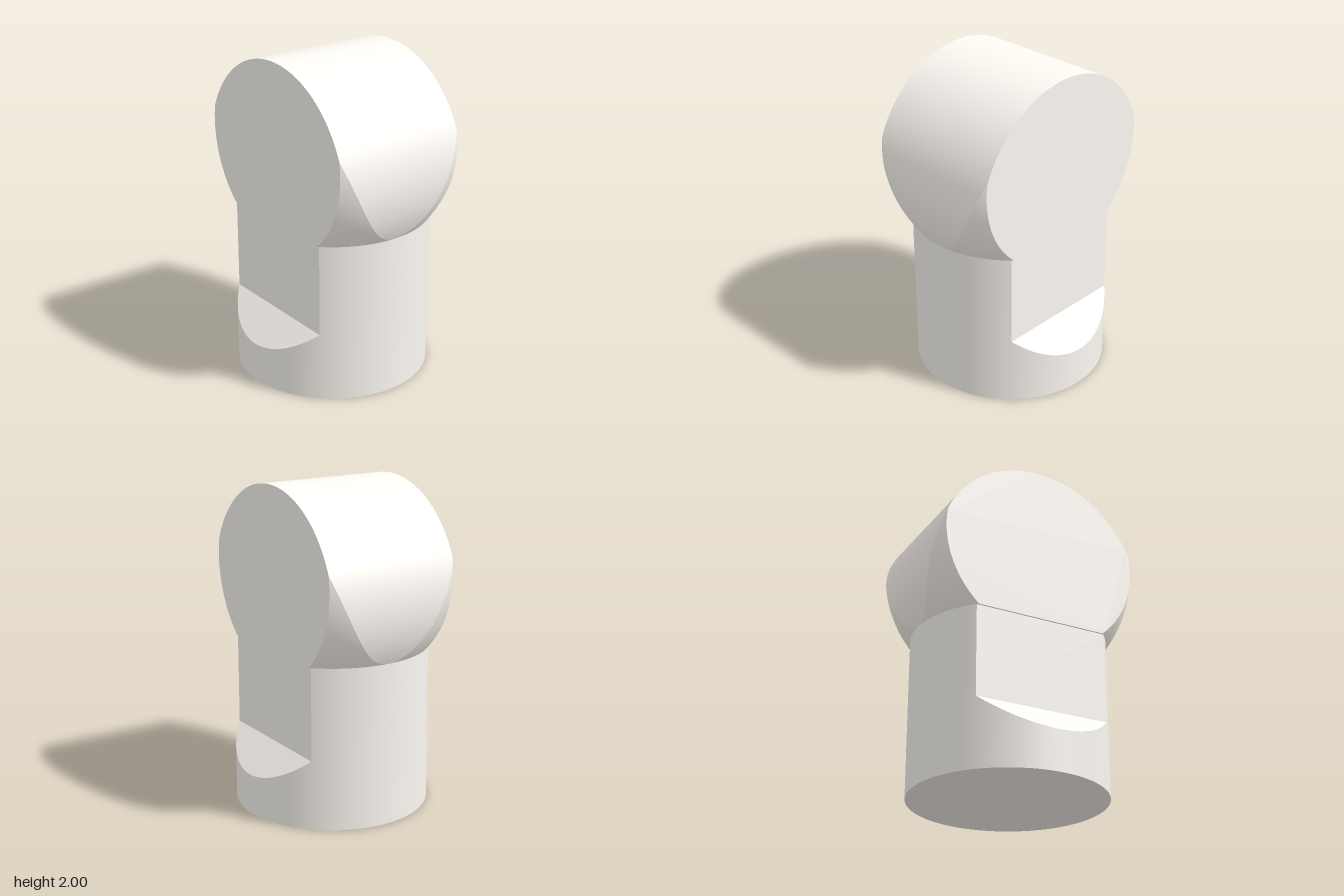
import * as THREE from 'three';

const material = new THREE.MeshStandardMaterial({ color: 0xfdf9f3 });
const { lerp } = THREE.MathUtils;

const SHAFT_R = 0.6, FLAT_Z = 0.42, SHOULDER_Y = 0.25, NECK_Y = 1;
const HEAD_R = 0.68, HEAD_Y = 1.32, HEAD_Z = 0.43;
const BALL_Y = 1.48; // sphere that rounds the head down into the shaft
const BALL_R = Math.hypot(SHAFT_R, BALL_Y - NECK_Y);

function mesh(name, geometry) {
  const m = new THREE.Mesh(geometry, material);
  m.name = name;
  return m;
}

// Surface patch: rule(u, v) gives a point; the front faces along u x v
function patch(name, nu, nv, rule) {
  const geo = new THREE.PlaneGeometry(1, 1, nu, nv);
  const pos = geo.attributes.position, uv = geo.attributes.uv;
  for (let i = 0; i < pos.count; i++) pos.setXYZ(i, ...rule(uv.getX(i), uv.getY(i)));
  geo.computeVertexNormals();
  return mesh(name, geo);
}

// Height where the ball surface meets the head cylinder at depth z
const seamY = z => NECK_Y + z * z / (2 * (BALL_Y - HEAD_Y));
const seamAngle = z => Math.asin((seamY(z) - HEAD_Y) / HEAD_R);

// Everything that appears once on the front and once on the back
function createHalf() {
  const half = new THREE.Group();
  const flatAngle = Math.asin(FLAT_Z / SHAFT_R);
  const flatX = SHAFT_R * Math.cos(flatAngle);
  const chamferY = z => SHOULDER_Y + SHAFT_R - z;

  // Shaft: full-height side wall, then the lower wall under the chamfer
  half.add(patch('shaftSide', 32, 1, (u, v) => {
    const a = lerp(flatAngle, -flatAngle, u);
    return [SHAFT_R * Math.cos(a), v * NECK_Y, SHAFT_R * Math.sin(a)];
  }));
  const frontAngle = u => lerp(Math.PI - flatAngle, flatAngle, u);
  half.add(patch('shaftLowerWall', 40, 1, (u, v) => {
    const a = frontAngle(u), z = SHAFT_R * Math.sin(a);
    return [SHAFT_R * Math.cos(a), v * chamferY(z), z];
  }));

  // Sloped shoulder and the flat above it
  half.add(patch('shoulderChamfer', 40, 1, (u, v) => {
    const a = frontAngle(u), z = lerp(SHAFT_R * Math.sin(a), FLAT_Z, v);
    return [SHAFT_R * Math.cos(a), chamferY(z), z];
  }));
  half.add(patch('neckFlat', 1, 1, (u, v) =>
    [lerp(-flatX, flatX, u), lerp(chamferY(FLAT_Z), NECK_Y, v), FLAT_Z]));

  // Head: narrow underside lip beyond the flat
  half.add(patch('headLip', 1, 1, (u, v) => {
    const z = lerp(FLAT_Z, HEAD_Z, v);
    return [lerp(-1, 1, u) * Math.sqrt(SHAFT_R ** 2 - z * z), NECK_Y, z];
  }));

  // Head: rounded cheek on one side
  half.add(patch('headCheek', 64, 20, (u, v) => {
    const z = lerp(HEAD_Z, -HEAD_Z, u), y = lerp(NECK_Y, seamY(z), v);
    return [Math.sqrt(BALL_R ** 2 - (y - BALL_Y) ** 2 - z * z), y, z];
  }));

  // Head: flat end face
  const r = Math.sqrt(BALL_R ** 2 - HEAD_Z ** 2);
  const low = Math.asin((NECK_Y - BALL_Y) / r);
  const high = Math.asin((seamY(HEAD_Z) - BALL_Y) / r);
  const top = seamAngle(HEAD_Z);
  const face = new THREE.Shape();
  face.absarc(0, BALL_Y, r, low, high);
  face.absarc(0, HEAD_Y, HEAD_R, top, Math.PI - top);
  face.absarc(0, BALL_Y, r, Math.PI - high, Math.PI - low);
  half.add(mesh('headFace', new THREE.ShapeGeometry(face, 64).translate(0, 0, HEAD_Z)));
  return half;
}

export function createModel() {
  const model = new THREE.Group();
  model.name = 'pivotStud';

  const front = createHalf();
  front.name = 'frontHalf';
  const back = createHalf();
  back.name = 'backHalf';
  back.rotation.y = Math.PI;
  model.add(front, back);

  // Underside of the shaft
  model.add(mesh('shaftBottom', new THREE.CircleGeometry(SHAFT_R, 96).rotateX(Math.PI / 2)));

  // Cylindrical top of the head, running down to the cheeks
  model.add(patch('headBarrel', 64, 96, (u, v) => {
    const z = lerp(HEAD_Z, -HEAD_Z, u), start = seamAngle(z);
    const a = lerp(start, Math.PI - start, v);
    return [HEAD_R * Math.cos(a), HEAD_Y + HEAD_R * Math.sin(a), z];
  }));
  return model;
}
